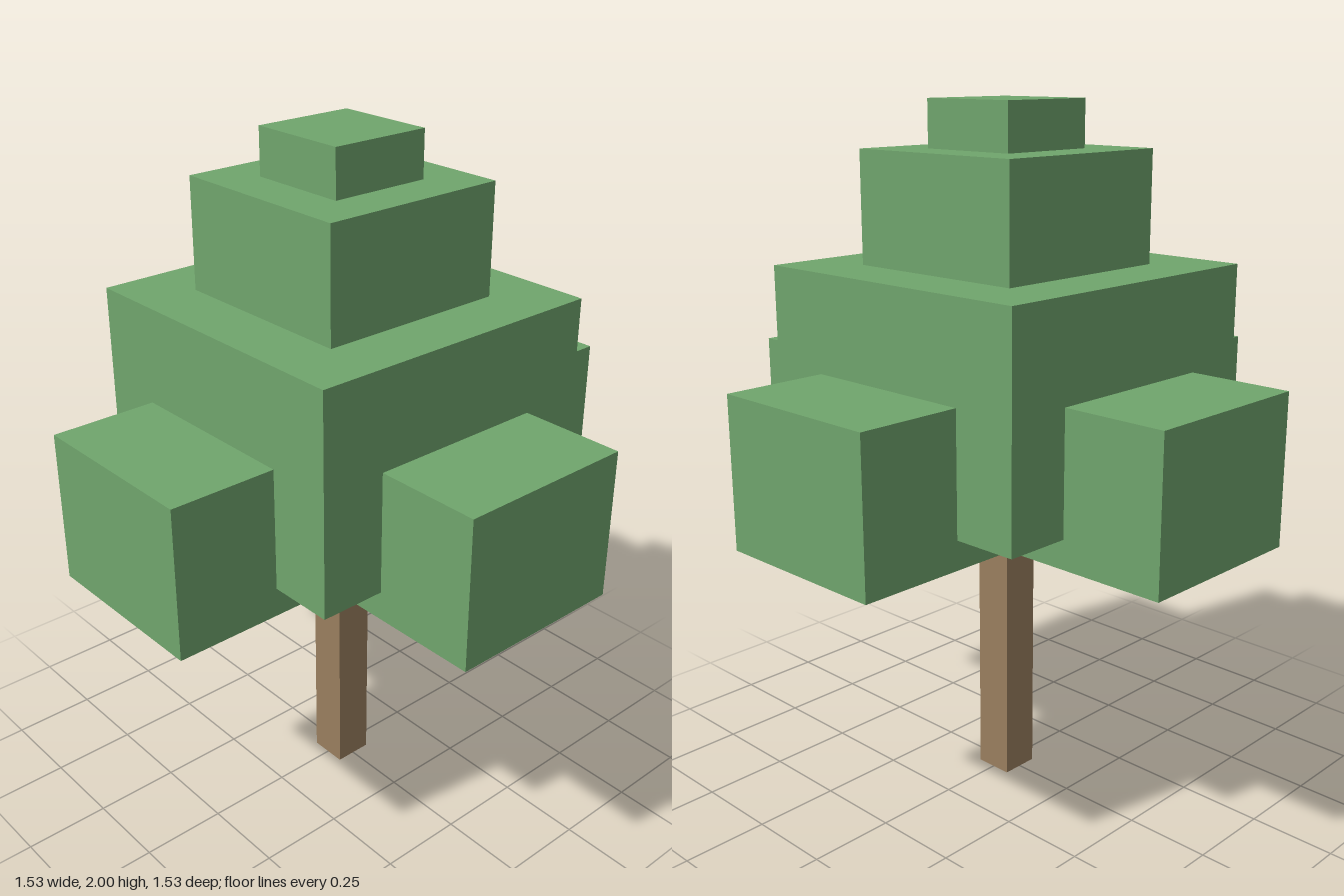
import * as THREE from 'three';

const leaf = new THREE.MeshStandardMaterial({ color: 0x70a56d });
const bark = new THREE.MeshStandardMaterial({ color: 0x9a7f5f });

// Box of width w (x) and depth d (z), from height y0 to y1
function block(name, w, d, y0, y1, material) {
  const mesh = new THREE.Mesh(new THREE.BoxGeometry(w, y1 - y0, d), material);
  mesh.name = name;
  mesh.position.y = (y0 + y1) / 2;
  return mesh;
}

export function createModel() {
  const tree = new THREE.Group();
  tree.name = 'blockTree';

  tree.add(block('trunk', 0.114, 0.114, 0, 0.92, bark));

  // Stacked crown tiers
  tree.add(block('lowerCrown', 0.916, 0.916, 0.92, 1.55, leaf));
  tree.add(block('middleCrown', 0.566, 0.566, 1.55, 1.867, leaf));
  tree.add(block('topCrown', 0.302, 0.302, 1.867, 2, leaf));

  // Four side clumps that leave an open square around the trunk
  const inner = 0.266, outer = 0.767;
  ['front', 'left', 'back', 'right'].forEach((side, i) => {
    const clump = block(side + 'Clump', 0.532, outer - inner, 0.837, 1.27, leaf);
    clump.position.z = (inner + outer) / 2;
    const pivot = new THREE.Group();
    pivot.name = side + 'Branch';
    pivot.rotation.y = i * Math.PI / 2;
    pivot.add(clump);
    tree.add(pivot);
  });

  return tree;
}
